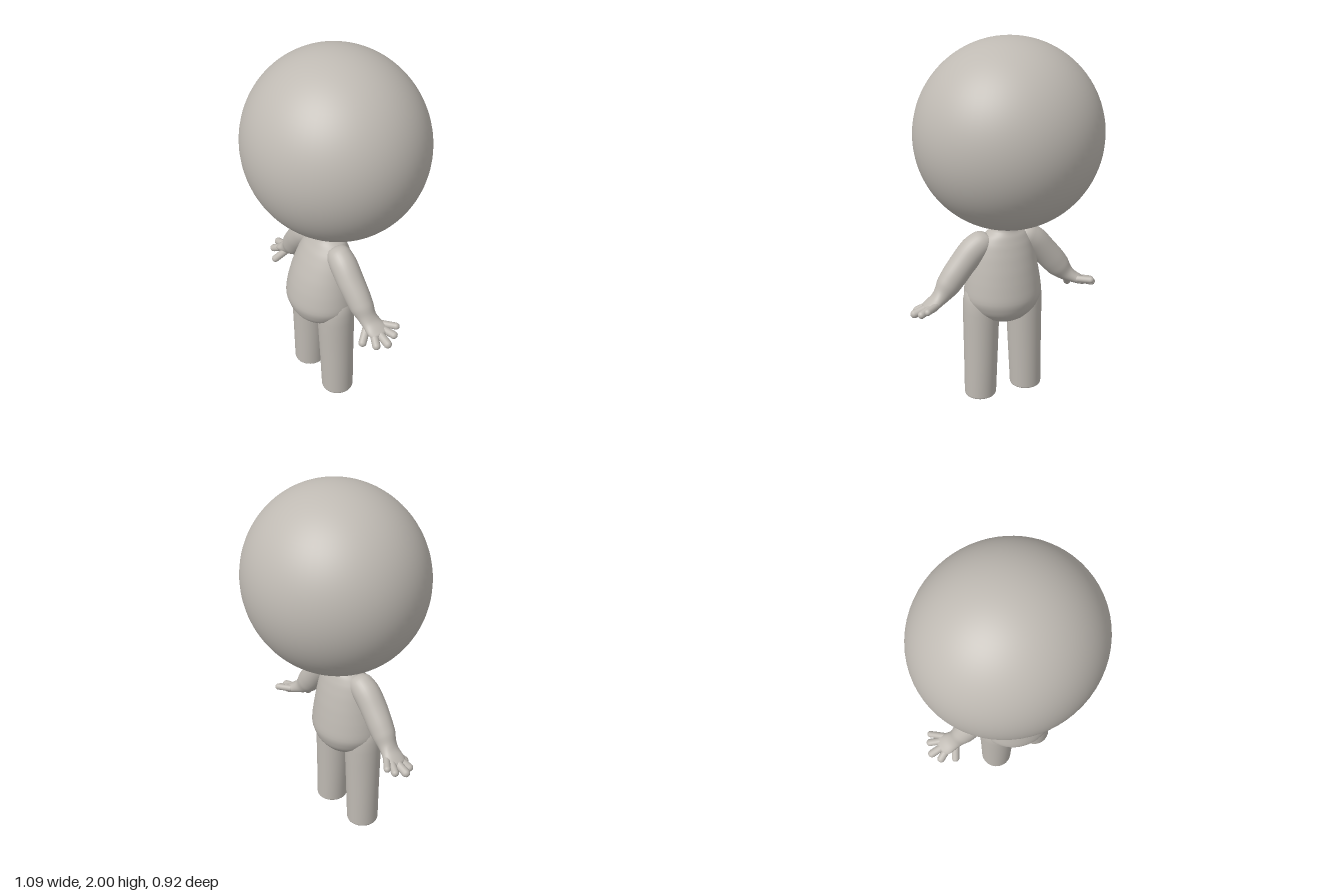
import * as THREE from 'three';

const clay = new THREE.MeshStandardMaterial({ color: 0xbfbab3 });
clay.name = 'warm grey clay';

// Smooth skin over elliptical rings. Station: [x, y, z, radius in the xy plane, radius along z]
function loft(stations, steps = 1, sides = 32) {
  let rings = stations;
  if (steps > 1) {
    const mid = new THREE.CatmullRomCurve3(stations.map((s) => new THREE.Vector3(s[0], s[1], s[2])));
    const rad = new THREE.CatmullRomCurve3(stations.map((s) => new THREE.Vector3(s[3], s[4], 0)));
    const n = (stations.length - 1) * steps;
    rings = [];
    for (let i = 0; i <= n; i++) {
      const c = mid.getPoint(i / n), r = rad.getPoint(i / n);
      rings.push([c.x, c.y, c.z, Math.max(r.x, 0.0005), Math.max(r.y, 0.0005)]);
    }
  }
  const pos = [], index = [], last = rings.length - 1;
  let dir = new THREE.Vector2(0, 1);
  rings.forEach((s, i) => {
    const a = rings[Math.max(i - 1, 0)], b = rings[Math.min(i + 1, last)];
    const d = new THREE.Vector2(b[0] - a[0], b[1] - a[1]);
    if (d.length() > 1e-5) dir = d.normalize();
    for (let j = 0; j < sides; j++) {
      const t = (j / sides) * Math.PI * 2, u = Math.cos(t) * s[3];
      pos.push(s[0] + dir.y * u, s[1] - dir.x * u, s[2] + Math.sin(t) * s[4]);
      if (i === last) continue;
      const p = i * sides + j, q = i * sides + ((j + 1) % sides);
      index.push(p, p + sides, q, q, p + sides, q + sides);
    }
  });
  const g = new THREE.BufferGeometry();
  g.setAttribute('position', new THREE.Float32BufferAttribute(pos, 3));
  g.setIndex(index);
  g.computeVertexNormals();
  return g;
}

function add(parent, name, geometry) {
  const m = new THREE.Mesh(geometry, clay);
  m.name = name;
  parent.add(m);
  return m;
}

// Rounded finger between two points
function finger(parent, name, from, to, r) {
  const a = new THREE.Vector3(...from), b = new THREE.Vector3(...to);
  const d = b.clone().sub(a);
  const m = add(parent, name, new THREE.CapsuleGeometry(r, d.length(), 8, 14));
  m.position.copy(a).add(b).multiplyScalar(0.5);
  m.quaternion.setFromUnitVectors(new THREE.Vector3(0, 1, 0), d.normalize());
}

export function createModel() {
  const model = new THREE.Group();
  model.name = 'figure';

  // Big, slightly flattened ball head
  const head = add(model, 'head', new THREE.SphereGeometry(1, 64, 48));
  head.scale.set(0.485, 0.485, 0.462);
  head.position.y = 1.515;

  // Pear-shaped torso running up into the neck: [y, half width, front z, back z]
  const torso = [
    [0.458, 0.001, 0.09, 0.088], [0.462, 0.07, 0.16, 0.01], [0.49, 0.135, 0.225, -0.045],
    [0.54, 0.188, 0.262, -0.083], [0.61, 0.216, 0.278, -0.1], [0.7, 0.206, 0.262, -0.09],
    [0.78, 0.19, 0.237, -0.077], [0.86, 0.17, 0.202, -0.06], [0.92, 0.148, 0.17, -0.044],
    [0.965, 0.115, 0.14, -0.028], [0.995, 0.076, 0.124, -0.014], [1.03, 0.067, 0.12, -0.01],
    [1.08, 0.067, 0.12, -0.01],
  ].map(([y, w, f, b]) => [0, y, (f + b) / 2, w, (f - b) / 2]);
  add(model, 'torso', loft(torso, 4, 48));

  for (const s of [1, -1]) {
    const side = s > 0 ? 'left' : 'right';

    // Straight leg with a flat sole and a slightly softened rim
    const leg = [
      [0.14, 0, 0.087, 0.0005, 0.0005], [0.14, 0, 0.087, 0.083, 0.083], [0.14, 0, 0.087, 0.083, 0.083],
      [0.14, 0.003, 0.087, 0.087, 0.087], [0.14, 0.01, 0.087, 0.089, 0.089],
      [0.134, 0.25, 0.088, 0.094, 0.093], [0.13, 0.43, 0.089, 0.098, 0.098],
      [0.128, 0.52, 0.089, 0.1, 0.1], [0.126, 0.58, 0.089, 0.1, 0.1],
      [0.122, 0.63, 0.089, 0.094, 0.094], [0.115, 0.68, 0.089, 0.07, 0.075], [0.11, 0.71, 0.089, 0.0005, 0.0005],
    ].map(([x, ...rest]) => [s * x, ...rest]);
    add(model, side + 'Leg', loft(leg));

    // Arm from shoulder to flattened palm
    const arm = new THREE.Group();
    arm.name = side + 'Arm';
    model.add(arm);
    const path = [
      [0.075, 0.955, 0.065, 0.001, 0.001], [0.09, 0.945, 0.066, 0.042, 0.048], [0.125, 0.925, 0.068, 0.07, 0.066],
      [0.175, 0.89, 0.07, 0.075, 0.071], [0.235, 0.825, 0.07, 0.072, 0.07],
      [0.285, 0.765, 0.066, 0.071, 0.066], [0.325, 0.715, 0.063, 0.066, 0.061],
      [0.36, 0.675, 0.058, 0.05, 0.05], [0.395, 0.647, 0.05, 0.036, 0.053],
      [0.435, 0.625, 0.042, 0.028, 0.062], [0.462, 0.612, 0.04, 0.021, 0.054], [0.475, 0.606, 0.04, 0.001, 0.001],
    ].map(([x, ...rest]) => [s * x, ...rest]);
    add(arm, side + 'ArmAndPalm', loft(path, 4));

    // Four fingers and a thumb, spread out
    [
      ['Thumb', [0.385, 0.63, 0.075], [0.42, 0.572, 0.128], 0.021],
      ['IndexFinger', [0.435, 0.62, 0.07], [0.492, 0.588, 0.094], 0.021],
      ['MiddleFinger', [0.44, 0.62, 0.045], [0.521, 0.596, 0.044], 0.022],
      ['RingFinger', [0.435, 0.627, 0.018], [0.5, 0.612, -0.012], 0.02],
      ['LittleFinger', [0.42, 0.637, 0.0], [0.476, 0.638, -0.045], 0.018],
    ].forEach(([name, a, b, r]) =>
      finger(arm, side + name, [s * a[0], a[1], a[2]], [s * b[0], b[1], b[2]], r));
  }
  return model;
}
